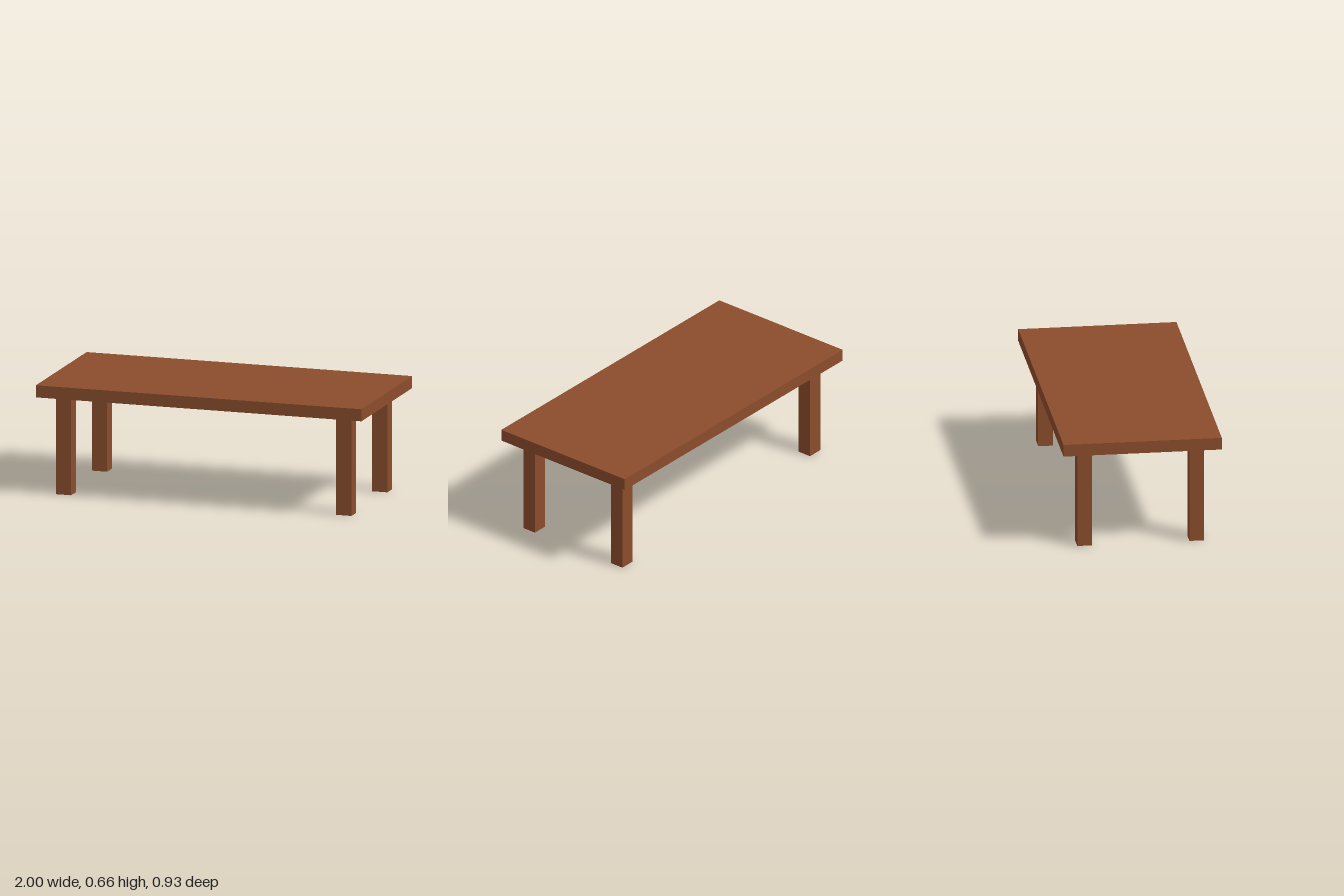
import * as THREE from 'three';

export function createModel() {
  const table = new THREE.Group();
  table.name = 'table';
  const wood = new THREE.MeshStandardMaterial({ color: 0x8b4d2c });
  wood.name = 'brown wood';
  wood.side = THREE.DoubleSide;

  // Slab top
  const topY = 0.663, underY = 0.591;
  const top = new THREE.Mesh(new THREE.BoxGeometry(2, topY - underY, 0.93), wood);
  top.name = 'tableTop';
  top.position.y = (topY + underY) / 2;
  table.add(top);

  // Hollow square legs: boxes without their top and bottom faces
  const legGeometry = new THREE.BoxGeometry(0.094, underY, 0.086);
  const index = Array.from(legGeometry.index.array);
  index.splice(12, 12);
  legGeometry.setIndex(index);
  legGeometry.clearGroups();

  for (const [xName, x] of [['Left', 0.861], ['Right', -0.861]]) {
    for (const [zName, z] of [['front', 0.33], ['back', -0.329]]) {
      const leg = new THREE.Mesh(legGeometry, wood);
      leg.name = `${zName}${xName}Leg`;
      leg.position.set(x, underY / 2, z);
      table.add(leg);
    }
  }
  return table;
}
